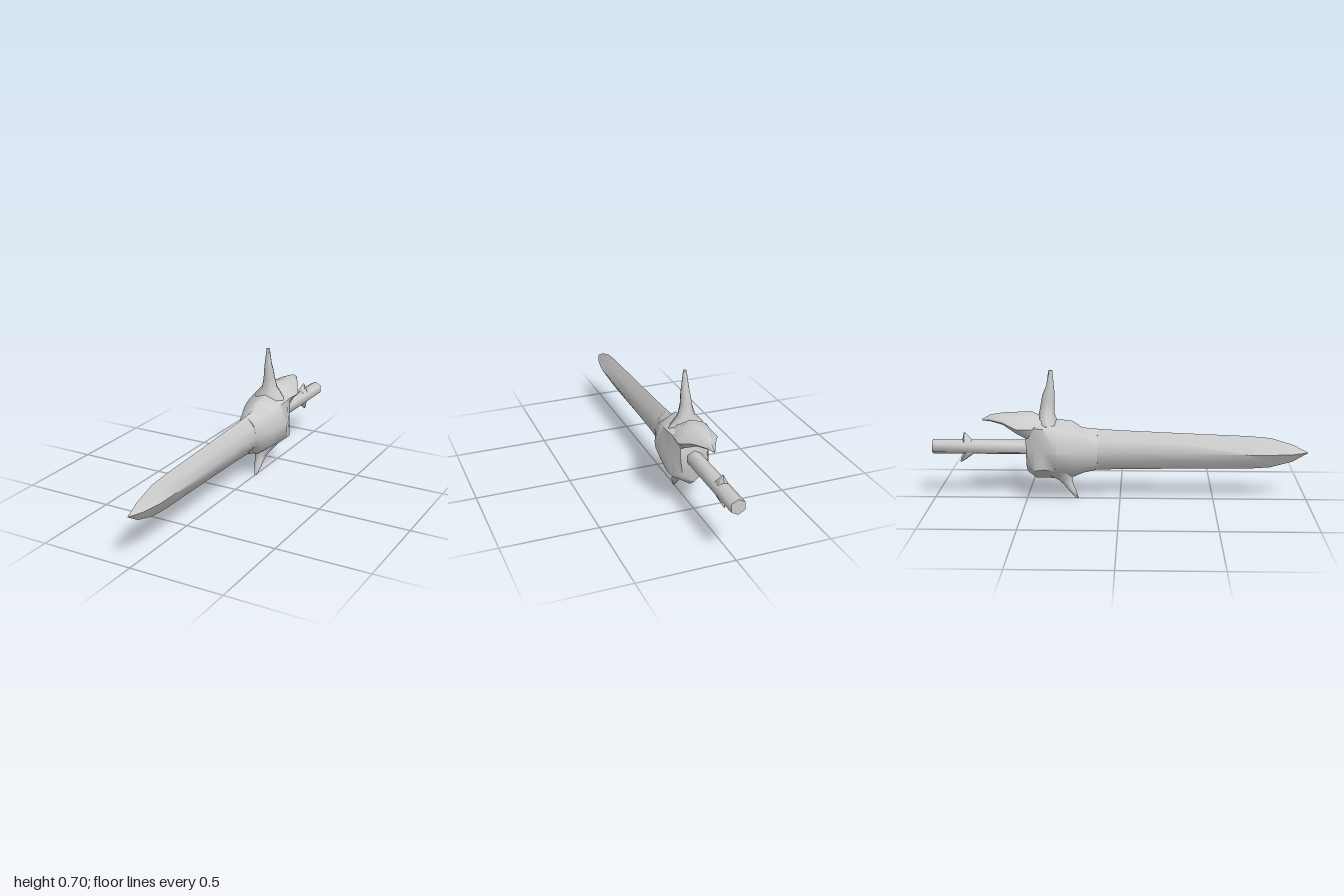
import * as THREE from 'three';
import { toCreasedNormals } from 'three/addons/utils/BufferGeometryUtils.js';

// Skin a list of rings (each an array of [x, y, z], counter-clockwise about the direction of travel)
function loft(rings, crease = 0.9) {
  const n = rings[0].length, last = rings.length - 1;
  const pos = rings.flat(2), index = [];
  const centre = (ring) => [0, 1, 2].map((k) => ring.reduce((s, p) => s + p[k], 0) / n);
  pos.push(...centre(rings[0]), ...centre(rings[last]));
  const c0 = rings.length * n, c1 = c0 + 1;
  for (let j = 0; j < n; j++) {
    const k = (j + 1) % n;
    for (let i = 0; i < last; i++) {
      const a = i * n + j, b = i * n + k;
      index.push(a, b, b + n, a, b + n, a + n);
    }
    index.push(c0, k, j, c1, last * n + j, last * n + k);
  }
  const g = new THREE.BufferGeometry();
  g.setAttribute('position', new THREE.Float32BufferAttribute(pos, 3));
  g.setIndex(index);
  return toCreasedNormals(g, crease);
}

// Mirrored ring at depth z from half an outline [x, y], top to bottom
function mirrored(z, half) {
  const left = half.slice(1, -1).reverse().map(([x, y]) => [-x, y, z]);
  return [...half.map(([x, y]) => [x, y, z]), ...left];
}

// Vertical horn from stations [y, z, half width, half depth]; dir is 1 upward, -1 downward
function horn(stations, dir, sides = 8) {
  return loft(stations.map(([y, z, rx, rz]) => Array.from({ length: sides }, (_, i) => {
    const a = (i / sides) * Math.PI * 2;
    return [dir * Math.sin(a) * rx, y, z + Math.cos(a) * rz];
  })), 1.0);
}

export function createModel() {
  const sword = new THREE.Group();
  sword.name = 'sword';
  const steel = new THREE.MeshStandardMaterial({ color: 0xcccccc });
  steel.name = 'grey steel';
  const add = (name, geometry) => {
    const mesh = new THREE.Mesh(geometry, steel);
    mesh.name = name;
    sword.add(mesh);
  };

  // Blade: [z, top, bottom, half width, fullness], a diamond that fills out toward the guard
  const blade = [
    [1, 0.263, 0.261, 0.001, 0.5], [0.92, 0.305, 0.213, 0.028, 0.5],
    [0.8, 0.342, 0.18, 0.05, 0.52], [0.68, 0.352, 0.172, 0.053, 0.56],
    [0.3, 0.367, 0.169, 0.053, 0.64], [0, 0.38, 0.165, 0.055, 0.72],
    [-0.13, 0.388, 0.16, 0.062, 0.78], [-0.25, 0.39, 0.15, 0.07, 0.8],
  ];
  add('blade', loft(blade.map(([z, t, b, w, f]) => {
    const m = (t + b) / 2;
    return mirrored(z, [[0, t], [w * f, (t + m) / 2], [w, m], [w * f, (b + m) / 2], [0, b]]);
  })));

  // Guard: swollen body around the root of the blade
  add('guard', loft([
    mirrored(-0.12, [[0, 0.386], [0.046, 0.34], [0.061, 0.275], [0.046, 0.21], [0, 0.162]]),
    mirrored(-0.2, [[0, 0.395], [0.07, 0.365], [0.092, 0.28], [0.07, 0.19], [0, 0.142]]),
    mirrored(-0.25, [[0, 0.43], [0.085, 0.385], [0.114, 0.28], [0.085, 0.18], [0, 0.12]]),
    mirrored(-0.33, [[0, 0.44], [0.1, 0.4], [0.14, 0.286], [0.09, 0.175], [0, 0.11]]),
    mirrored(-0.4, [[0, 0.46], [0.106, 0.41], [0.116, 0.29], [0.11, 0.19], [0, 0.115]]),
    mirrored(-0.45, [[0, 0.46], [0.1, 0.41], [0.096, 0.3], [0.1, 0.18], [0, 0.115]]),
    mirrored(-0.495, [[0, 0.41], [0.075, 0.38], [0.072, 0.29], [0.06, 0.2], [0, 0.15]]),
  ]));

  // Hooked crest sweeping back over the grip
  add('crest', loft([
    mirrored(-0.4, [[0, 0.45], [0.06, 0.435], [0.095, 0.4], [0.07, 0.33], [0, 0.3]]),
    mirrored(-0.47, [[0, 0.482], [0.06, 0.46], [0.1, 0.405], [0.075, 0.34], [0, 0.34]]),
    mirrored(-0.54, [[0, 0.478], [0.062, 0.455], [0.104, 0.405], [0.075, 0.375], [0, 0.4]]),
    mirrored(-0.62, [[0, 0.474], [0.035, 0.462], [0.06, 0.432], [0.042, 0.418], [0, 0.43]]),
    mirrored(-0.69, [[0, 0.462], [0.014, 0.455], [0.024, 0.437], [0.015, 0.43], [0, 0.434]]),
    mirrored(-0.73, [[0, 0.438], [0.003, 0.436], [0.004, 0.432], [0.003, 0.43], [0, 0.429]]),
  ]));

  // Long upper horn and short forward-curving lower horn
  add('upperHorn', horn([
    [0.38, -0.38, 0.1, 0.07], [0.425, -0.385, 0.09, 0.055], [0.475, -0.388, 0.047, 0.04],
    [0.53, -0.382, 0.031, 0.035], [0.57, -0.377, 0.027, 0.033], [0.62, -0.368, 0.02, 0.02],
    [0.703, -0.365, 0.009, 0.01],
  ], 1));
  add('lowerHorn', horn([
    [0.19, -0.35, 0.1, 0.1], [0.14, -0.325, 0.06, 0.07], [0.105, -0.295, 0.034, 0.038],
    [0.075, -0.275, 0.027, 0.026], [0.045, -0.257, 0.022, 0.02], [0, -0.231, 0.006, 0.008],
  ], -1));

  // Six-sided grip
  const gripHalf = [[0, 0.325], [0.035, 0.306], [0.035, 0.264], [0, 0.245]];
  add('grip', loft([-0.42, -1].map((z) => mirrored(z, gripHalf)), 1.2));

  // Thorns near the end of the grip
  add('upperThorn', horn([
    [0.29, -0.81, 0.037, 0.04], [0.32, -0.815, 0.028, 0.028], [0.362, -0.83, 0.003, 0.004],
  ], 1, 6));
  add('lowerThorn', horn([
    [0.28, -0.8, 0.037, 0.04], [0.25, -0.808, 0.028, 0.03],
    [0.222, -0.835, 0.014, 0.019], [0.202, -0.852, 0.003, 0.005],
  ], -1, 6));

  return sword;
}
